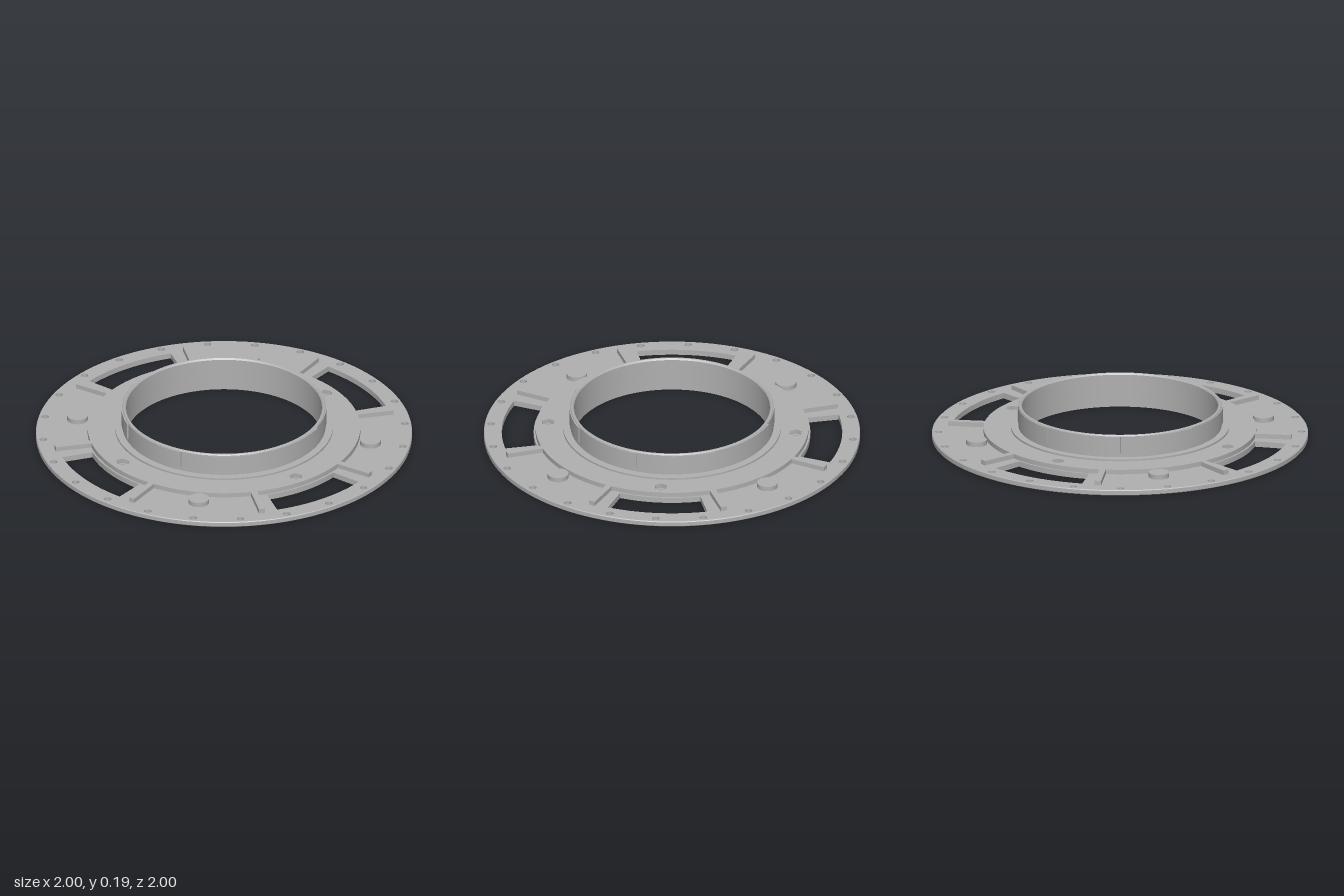
import * as THREE from 'three';
import { toCreasedNormals } from 'three/addons/utils/BufferGeometryUtils.js';

const SEG = 128;
const INNER = 0.52;

// Points of a circle or regular polygon centred at polar position (dist, angle)
function ring(radius, n, dist = 0, angle = 0, turn = 0) {
  const pts = [];
  for (let i = 0; i < n; i++) {
    const a = turn + (i / n) * Math.PI * 2;
    pts.push(new THREE.Vector2(
      dist * Math.cos(angle) + radius * Math.cos(a),
      dist * Math.sin(angle) + radius * Math.sin(a)));
  }
  return pts;
}

// Flat plate with holes, lying between y0 and y1
function plate(outline, holes, y0, y1) {
  const shape = new THREE.Shape(outline);
  shape.holes = holes;
  const geo = new THREE.ExtrudeGeometry(shape, { depth: y1 - y0, bevelEnabled: false, curveSegments: 24 });
  geo.rotateX(-Math.PI / 2);
  geo.translate(0, y0, 0);
  return toCreasedNormals(geo, 0.5);
}

function lathe(points) {
  const geo = new THREE.LatheGeometry(points.map(([x, y]) => new THREE.Vector2(x, y)), SEG);
  return toCreasedNormals(geo, 0.5);
}

export function createModel() {
  const group = new THREE.Group();
  const grey = new THREE.MeshStandardMaterial({ color: 0xb0b0b0 });
  grey.name = 'plain grey';
  const add = (name, geo) => {
    const mesh = new THREE.Mesh(geo, grey);
    mesh.name = name;
    group.add(mesh);
    return mesh;
  };
  const path = (pts) => new THREE.Path(pts);
  const bore = () => path(ring(INNER, SEG));

  // Base flange with rim holes, windows, screw holes and nut pockets
  const holes = [bore()];
  for (let i = 0; i < 24; i++) holes.push(path(ring(0.02, 16, 0.965, (i * Math.PI) / 12)));
  const half = (17 * Math.PI) / 180;
  for (let i = 0; i < 4; i++) {
    const a = (i * Math.PI) / 2;
    const win = new THREE.Path();
    win.absarc(0, 0, 0.905, a - half, a + half, false);
    win.absarc(0, 0, 0.735, a + half, a - half, true);
    win.closePath();
    holes.push(win);
    holes.push(path(ring(0.022, 20, 0.66, a)));
    holes.push(path(ring(0.03, 6, 0.79, a + Math.PI / 4, Math.PI / 6)));
  }
  add('baseFlange', plate(ring(0.99, SEG), holes, 0, 0.03));
  add('flangeRim', lathe([[0.99, 0], [0.996, 0], [1, 0.004], [1, 0.026], [0.996, 0.03], [0.99, 0.03]]));

  // Raised ring with hexagonal recesses above the screw holes
  const recesses = [bore()];
  for (let i = 0; i < 4; i++) recesses.push(path(ring(0.036, 6, 0.66, (i * Math.PI) / 2, Math.PI / 6)));
  add('raisedRing', plate(ring(0.725, SEG), recesses, 0.03, 0.055));
  add('collarStep', plate(ring(0.58, SEG), [bore()], 0.055, 0.065));

  // Upright collar with chamfered lip
  add('collar', lathe([
    [0.54, 0.065], [0.54, 0.18], [0.535, 0.186], [0.527, 0.186], [INNER, 0.178], [INNER, 0.065],
  ]));

  // Eight shallow ramps around the collar, each ending in a small step
  const ramps = [];
  for (let k = 0; k < 8; k++) {
    const start = Math.PI / 6 + (k * Math.PI) / 4;
    for (let i = 0; i <= 16; i++) {
      const a = start + (i / 16) * (Math.PI / 4 - 0.001);
      const r = 0.541 + 0.007 * (i / 16);
      ramps.push(new THREE.Vector2(r * Math.cos(a), r * Math.sin(a)));
    }
  }
  add('collarRamps', plate(ramps, [path(ring(0.535, SEG))], 0.09, 0.178));

  // Radial ribs beside the windows
  for (let i = 0; i < 8; i++) {
    const a = Math.PI / 8 + (i * Math.PI) / 4;
    const rib = add('rib', new THREE.BoxGeometry(0.21, 0.025, 0.034));
    rib.position.set(0.815 * Math.cos(a), 0.0425, 0.815 * Math.sin(a));
    rib.rotation.y = -a;
  }

  // Round bosses on the diagonals, closing the nut pockets
  for (let i = 0; i < 4; i++) {
    const a = Math.PI / 4 + (i * Math.PI) / 2;
    const boss = add('boss', new THREE.CylinderGeometry(0.055, 0.055, 0.025, 40));
    boss.position.set(0.79 * Math.cos(a), 0.0425, 0.79 * Math.sin(a));
  }
  return group;
}
